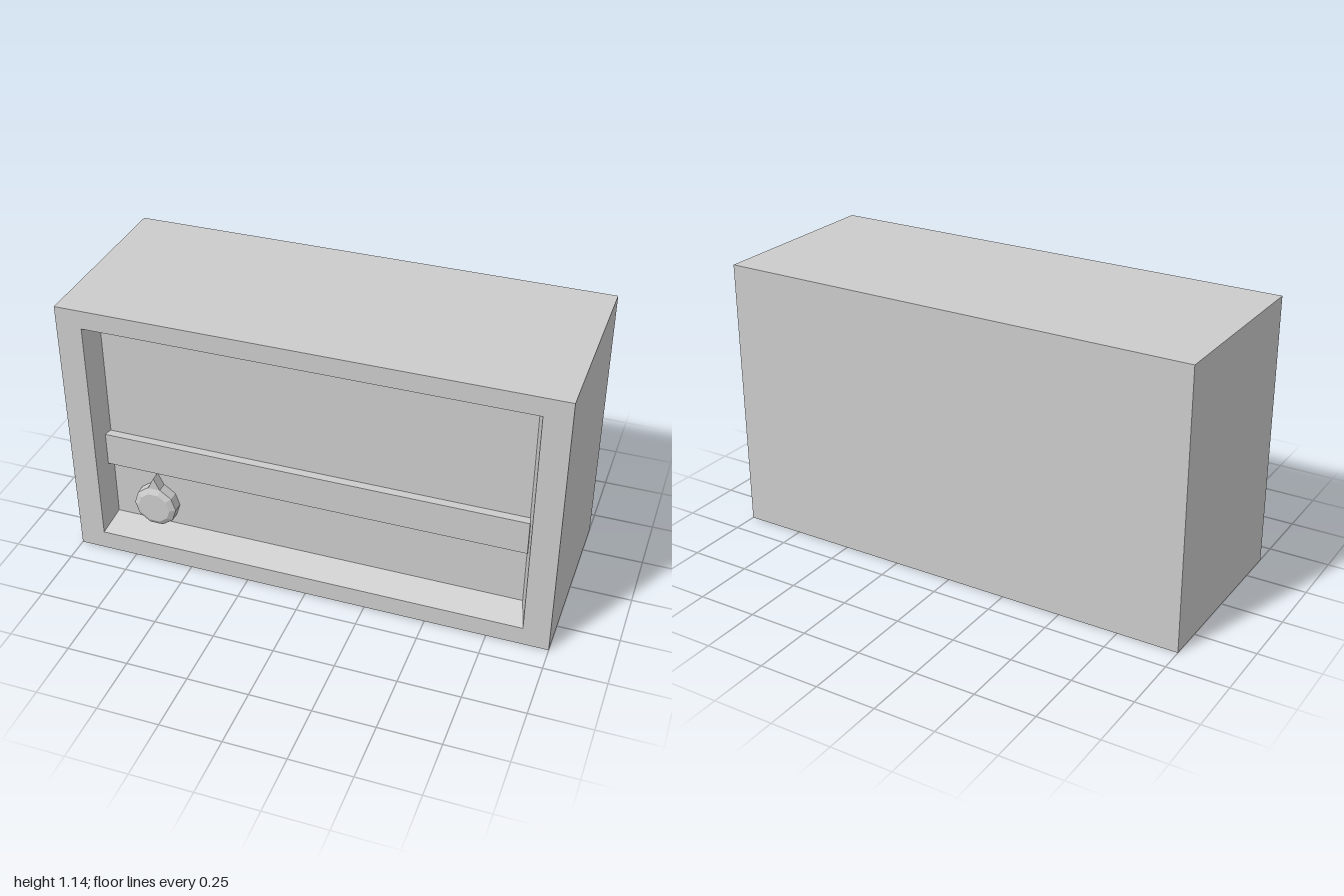
import * as THREE from 'three';

const grey = () => new THREE.MeshStandardMaterial({ color: 0xcccccc, flatShading: true });

function add(group, name, geometry, x = 0, y = 0, z = 0) {
  const mesh = new THREE.Mesh(geometry, grey());
  mesh.name = name;
  mesh.position.set(x, y, z);
  group.add(mesh);
  return mesh;
}

// Joins rectangles [x0, x1, y0, y1, z] one after another and caps both ends
function loftRectangles(rects) {
  const points = [], index = [];
  for (const [x0, x1, y0, y1, z] of rects) {
    points.push(x0, y0, z, x1, y0, z, x1, y1, z, x0, y1, z);
  }
  for (let r = 0; r < rects.length - 1; r++) {
    for (let i = 0; i < 4; i++) {
      const a = r * 4 + i, b = r * 4 + (i + 1) % 4;
      index.push(a, b, b + 4, a, b + 4, a + 4);
    }
  }
  const e = (rects.length - 1) * 4;
  index.push(0, 2, 1, 0, 3, 2, e, e + 1, e + 2, e, e + 2, e + 3);
  const indexed = new THREE.BufferGeometry();
  indexed.setAttribute('position', new THREE.Float32BufferAttribute(points, 3));
  indexed.setIndex(index);
  const geometry = indexed.toNonIndexed();
  geometry.computeVertexNormals();
  return geometry;
}

export function createModel() {
  const model = new THREE.Group();
  const front = 0.395, panel = 0.3;

  // Cabinet with a recess whose walls slope inwards
  add(model, 'cabinet', loftRectangles([
    [-1, 1, 0, 1.14, -front],
    [-1, 1, 0, 1.14, front],
    [-0.893, 0.893, 0.08, 1.062, front],
    [-0.865, 0.865, 0.135, 1.0, panel],
  ]));

  // Strip across the recessed panel
  add(model, 'crossBar', new THREE.BoxGeometry(1.745, 0.143, 0.035), 0, 0.469, panel + 0.0175);

  // Ten-sided dial with a bevelled front and a pointer
  const knob = new THREE.Group();
  knob.name = 'knob';
  knob.position.set(-0.671, 0.234, panel);
  model.add(knob);

  const profile = [[0.091, 0], [0.091, 0.043], [0.068, 0.056], [0, 0.056]]
    .map(([r, h]) => new THREE.Vector2(r, h));
  const dial = new THREE.LatheGeometry(profile, 10, Math.PI / 2).rotateX(Math.PI / 2);
  add(knob, 'dial', dial);

  const arrow = new THREE.Shape();
  arrow.moveTo(-0.034, 0.07);
  arrow.lineTo(0.034, 0.07);
  arrow.lineTo(0, 0.139);
  add(knob, 'pointer', new THREE.ExtrudeGeometry(arrow, { depth: 0.043, bevelEnabled: false }));

  return model;
}
